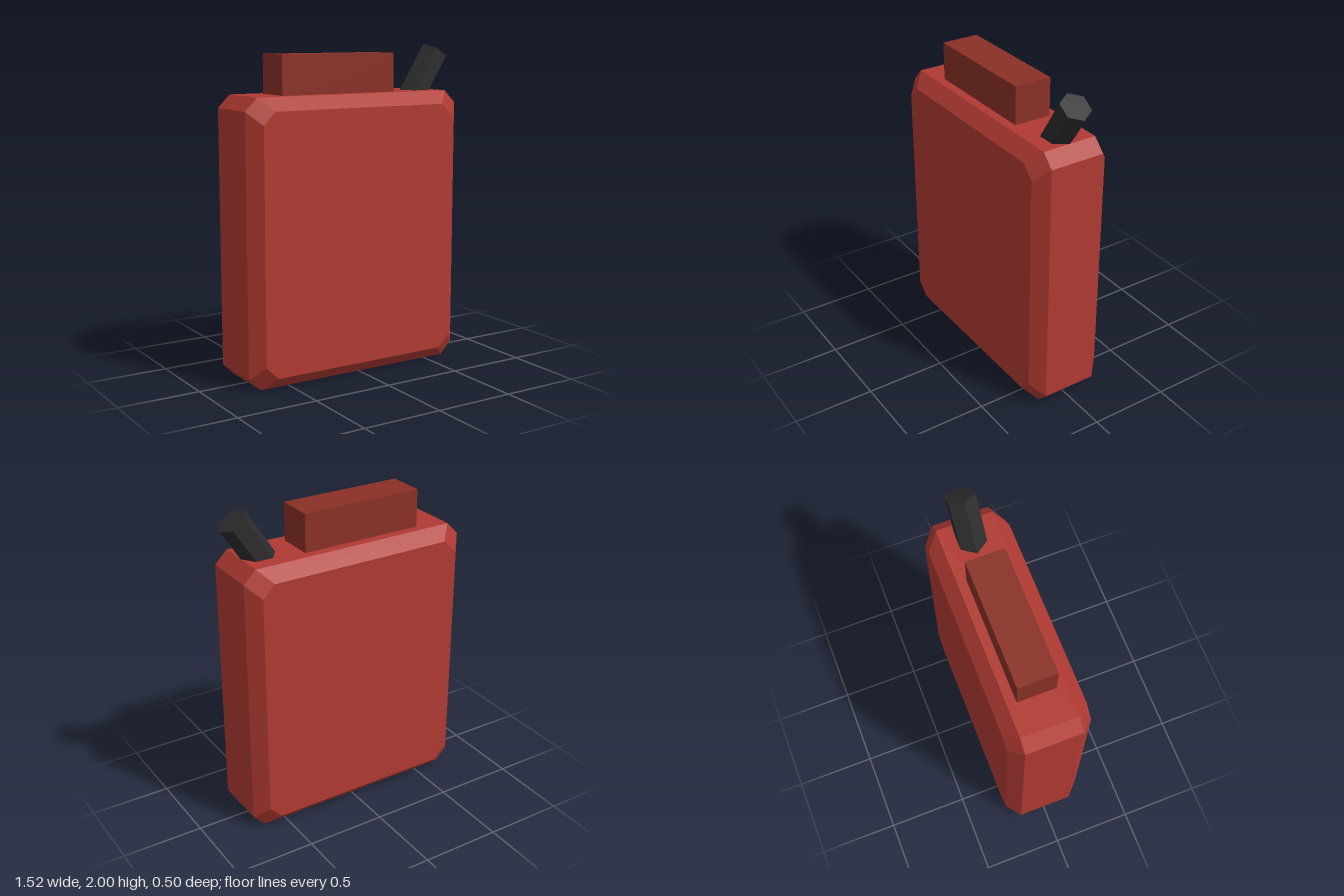
import * as THREE from 'three';
import { ConvexGeometry } from 'three/addons/geometries/ConvexGeometry.js';

const material = (name, color) => {
  const m = new THREE.MeshStandardMaterial({ color, flatShading: true });
  m.name = name;
  return m;
};

// Cut-corner rectangle at depth z
function octagon(halfW, halfH, cut, z) {
  const points = [];
  for (const sx of [-1, 1]) for (const sy of [-1, 1]) {
    points.push(new THREE.Vector3(sx * halfW, sy * (halfH - cut), z));
    points.push(new THREE.Vector3(sx * (halfW - cut), sy * halfH, z));
  }
  return points;
}

export function createModel() {
  const model = new THREE.Group();
  model.name = 'fuelCan';
  const red = material('red', 0xb03a32);
  const darkRed = material('dark red', 0x8a3026);
  const black = material('black', 0x2c2c2c);

  const add = (name, geometry, mat, x, y, z = 0) => {
    const mesh = new THREE.Mesh(geometry, mat);
    mesh.name = name;
    mesh.position.set(x, y, z);
    model.add(mesh);
    return mesh;
  };

  // Tank: wide outline through the middle, inset outline on both flat faces
  const W = 0.738, H = 0.857, D = 0.25, C = 0.077;
  const points = [];
  for (const s of [-1, 1]) {
    points.push(...octagon(W, H, C, s * (D - C)));
    points.push(...octagon(W - C, H - C, C, s * D));
  }
  add('tank', new ConvexGeometry(points), red, -0.023, H);

  // Handle block, slightly sunk into the tank
  add('handle', new THREE.BoxGeometry(0.777, 0.275, 0.234), darkRed, -0.102, 1.812);

  // Six-sided spout leaning to the side, its foot inside the tank
  const tilt = 0.568, length = 0.45;
  const spout = add('spout',
    new THREE.CylinderGeometry(0.093, 0.093, length, 6).rotateY(Math.PI / 2), black,
    0.679 - Math.sin(tilt) * length / 2, 1.95 - Math.cos(tilt) * length / 2);
  spout.rotation.z = -tilt;

  return model;
}
